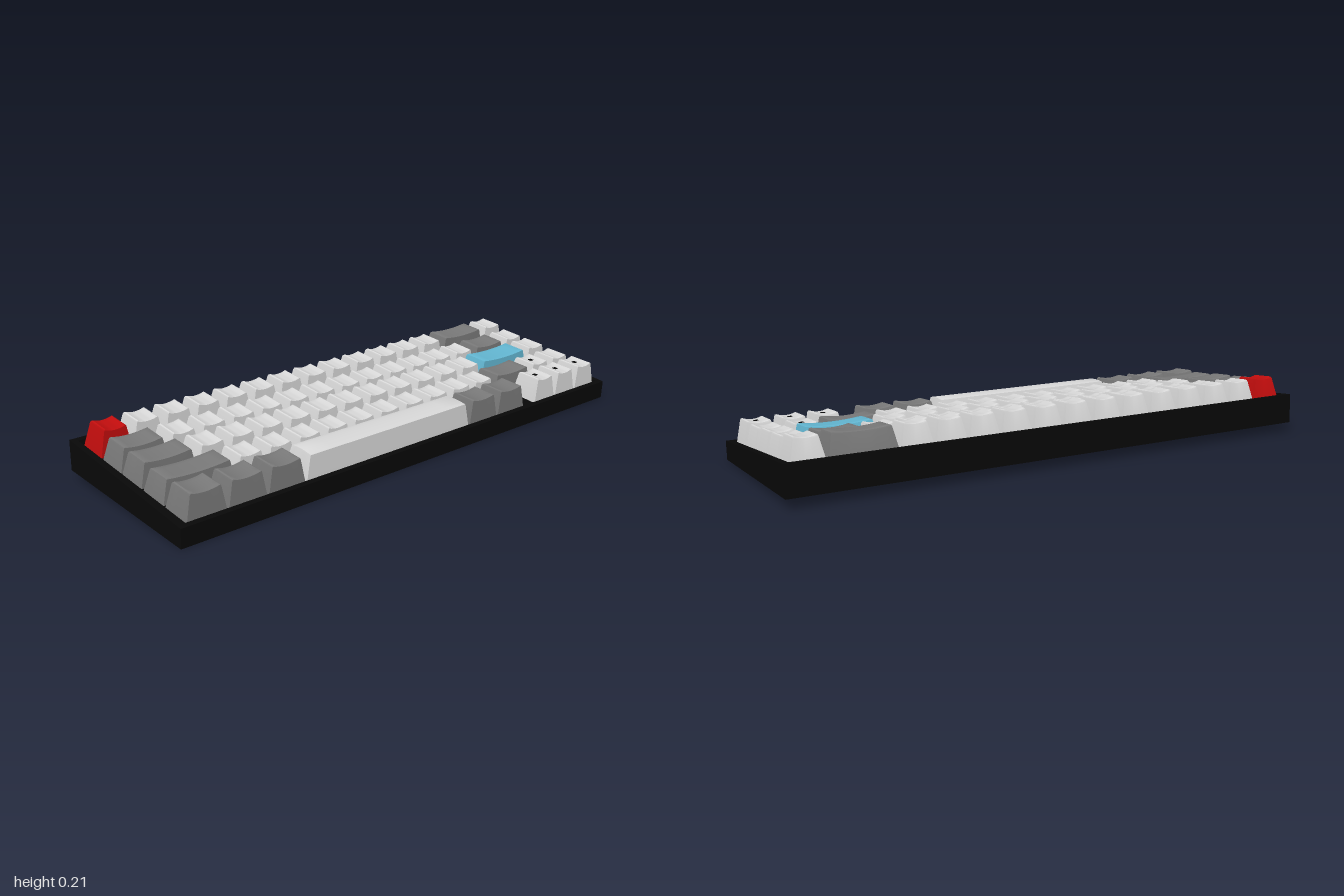
import * as THREE from 'three';
import { toCreasedNormals } from 'three/addons/utils/BufferGeometryUtils.js';

const mat = (name, color) => Object.assign(new THREE.MeshStandardMaterial({ color }), { name });
const lerp = THREE.MathUtils.lerp;

const U = 0.121;        // key pitch along z
const Z0 = 0.962;       // edge of the first key in each row

// heights of the sloping case, from the back (-x) to the front edge (+x)
const bottomY = x => lerp(0.039, 0.002, (x + 0.334) / 0.668);
const topY = x => lerp(0.149, 0.07, (x + 0.334) / 0.668);

function rect(shape, x, z) {
  shape.moveTo(-x, -z); shape.lineTo(x, -z); shape.lineTo(x, z); shape.lineTo(-x, z); shape.closePath();
  return shape;
}

// vertical extrusion whose ends follow the sloping bottom and top planes
function wedge(shape, t) {
  const g = new THREE.ExtrudeGeometry(shape, { depth: 1, bevelEnabled: false });
  g.rotateX(-Math.PI / 2);
  const p = g.attributes.position;
  for (let i = 0; i < p.count; i++) {
    const x = p.getX(i), v = p.getY(i) * t;
    p.setXYZ(i, x + lerp(-0.002, 0.002, v), lerp(bottomY(x), topY(x), v), p.getZ(i));
  }
  g.computeVertexNormals();
  return g;
}

// tapered keycap: sloped back and ends, bevelled top edge, top dished (or crowned for the long bar)
function keycap(row, length, crowned) {
  const g = new THREE.BoxGeometry(1, 1, 1, 6, 3, 8);
  const p = g.attributes.position;
  const levels = [0, 0.93, 0.98, 1], insets = [0, 0.93, 1.04, 1.3];
  for (let i = 0; i < p.count; i++) {
    const a = p.getX(i) + 0.5, c = p.getZ(i) * 2;
    const k = Math.round((p.getY(i) + 0.5) * 3), inset = insets[k];
    const x = lerp(row.x0 + row.back * inset, row.x1 - 0.002 * inset - (k === 3 ? 0.003 : 0), a);
    const z = c * (length / 2 - 0.019 * inset);
    const low = topY(x) - 0.02;
    let high = lerp(row.yBack, row.yFront, a);
    if (crowned) high += 0.004 * (1 - (2 * a - 1) ** 2) - 0.002;
    else high -= 0.007 * (1 - c * c);
    p.setXYZ(i, x, lerp(low, high, levels[k]), z);
  }
  return toCreasedNormals(g, 0.6);
}

export function createModel() {
  const model = new THREE.Group();
  model.name = 'keyboard';
  const black = mat('caseBlack', 0x080808);
  const light = mat('lightGrey', 0xd6d6d6);
  const dark = mat('darkGrey', 0x787878);
  const red = mat('red', 0xc00d0d);
  const blue = mat('blue', 0x62b5d0);

  const add = (name, geo, material, parent = model) => {
    const m = new THREE.Mesh(geo, material);
    m.name = name;
    parent.add(m);
    return m;
  };

  // case: a rim around a slightly lower plate
  const rim = rect(new THREE.Shape(), 0.332, 1);
  rim.holes.push(rect(new THREE.Path(), 0.311, 0.978));
  add('caseRim', wedge(rim, 1), black);
  add('keyPlate', wedge(rect(new THREE.Shape(), 0.311, 0.978), 0.82), black);

  // rows from back to front; keys are [width, material, count], null leaves a gap
  const rows = [
    { x0: -0.306, x1: -0.192, back: 0.022, yBack: 0.216, yFront: 0.208,
      keys: [[1, red, 1], [1, light, 12], [2, dark, 1], [1, light, 1]] },
    { x0: -0.183, x1: -0.07, back: 0.019, yBack: 0.193, yFront: 0.184,
      keys: [[1.5, dark, 1], [1, light, 12], [1.5, dark, 1], [1, light, 1]] },
    { x0: -0.064, x1: 0.052, back: 0.019, yBack: 0.181, yFront: 0.173,
      keys: [[1.75, dark, 1], [1, light, 11], [2.25, blue, 1], [1, light, 1]] },
    { x0: 0.062, x1: 0.177, back: 0.02, yBack: 0.165, yFront: 0.158,
      keys: [[2.25, dark, 1], [1, light, 10], [1.75, dark, 1], [1, light, 1, true], [1, light, 1]] },
    { x0: 0.186, x1: 0.303, back: 0.019, yBack: 0.16, yFront: 0.153,
      keys: [[1.25, dark, 3], [6.25, light, 1], [1.25, dark, 2], [0.5, null, 1], [1, light, 3, true]] },
  ];

  rows.forEach((row, r) => {
    const group = new THREE.Group();
    group.name = 'keyRow' + (r + 1);
    model.add(group);
    let u = 0;
    for (const [width, material, count, marked] of row.keys) {
      const bar = width > 6;
      const geo = material && keycap(row, width * U - 0.004, bar);
      for (let n = 0; n < count; n++, u += width) {
        if (!material) continue;
        const z = Z0 - (u + width / 2) * U;
        add(bar ? 'spaceBar' : 'keycap', geo, material, group).position.z = z;
        // small dark mark on the direction keys
        if (marked) {
          const dot = add('keyMark', new THREE.BoxGeometry(0.016, 0.003, 0.016), black, group);
          dot.position.set((row.x0 + row.x1) / 2 + 0.006, (row.yBack + row.yFront) / 2 - 0.0065, z);
          dot.rotation.z = -0.08;
        }
      }
    }
  });
  return model;
}
